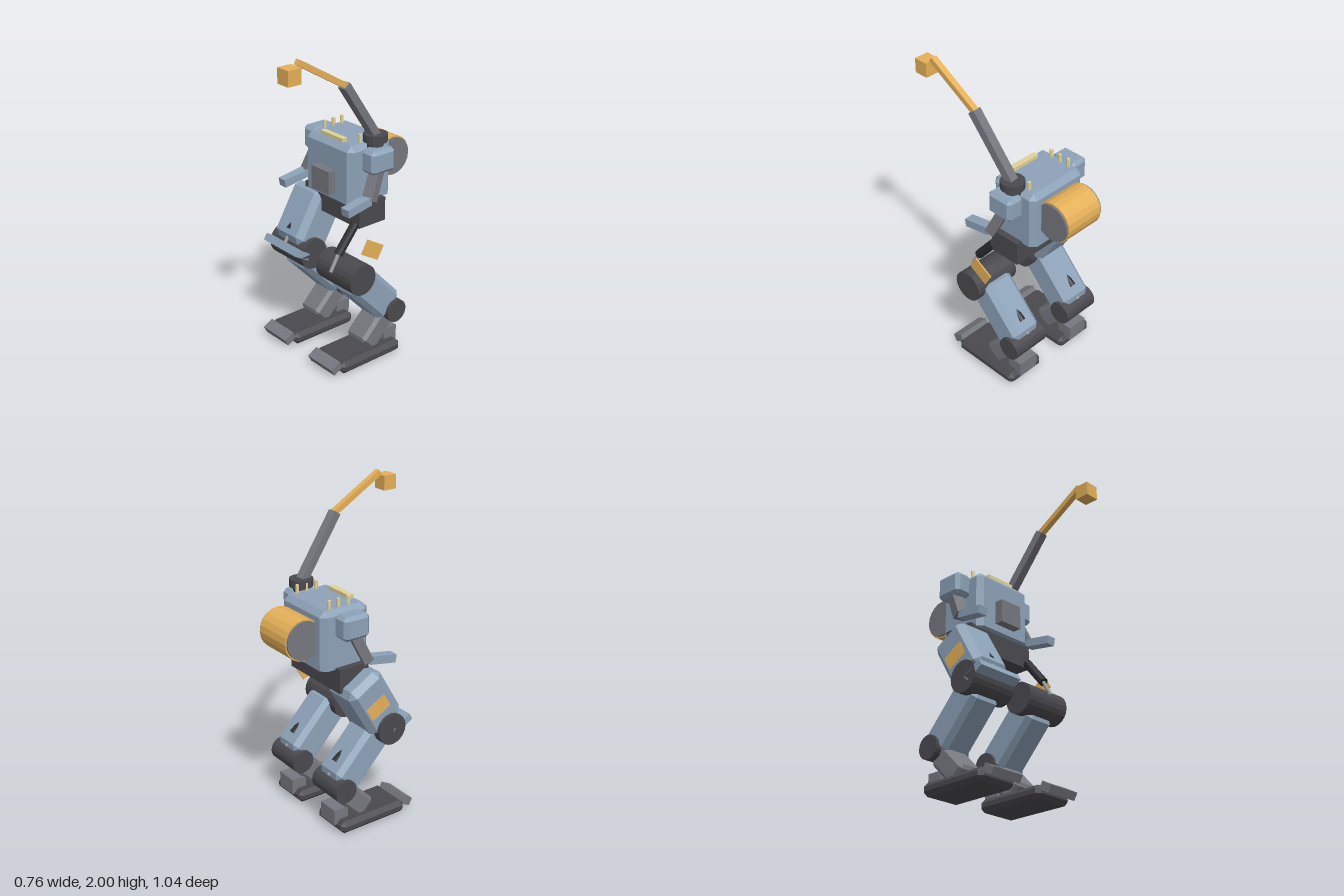
import * as THREE from 'three';
import { ConvexGeometry } from 'three/addons/geometries/ConvexGeometry.js';

const paint = (color) => new THREE.MeshStandardMaterial({ color, flatShading: true });
const BLUE = paint(0x8da2b8), DARK = paint(0x4a494e), GREY = paint(0x77787f);
const BLACK = paint(0x2e2e32), YELLOW = paint(0xe5b058), CREAM = paint(0xe0d296), STEEL = paint(0x9a9a9e);

// Box with all edges cut at 45 degrees; the bottom edges may stay sharp
function chamferBox(w, h, d, c, sharpBottom = false) {
  const pts = [];
  for (const sx of [-1, 1]) for (const sy of [-1, 1]) for (const sz of [-1, 1]) {
    const x = w / 2, y = h / 2, z = d / 2;
    const cy = sharpBottom && sy < 0 ? 0 : c;
    pts.push(new THREE.Vector3(sx * x, sy * (y - cy), sz * (z - c)));
    pts.push(new THREE.Vector3(sx * (x - c), sy * (y - cy), sz * z));
    if (cy) pts.push(new THREE.Vector3(sx * (x - c), sy * y, sz * (z - c)));
  }
  return new ConvexGeometry(pts);
}

export function createModel() {
  const root = new THREE.Group();
  root.name = 'walker';

  function add(parent, name, geometry, material, x, y, z, tilt = 0) {
    const mesh = new THREE.Mesh(geometry, material);
    mesh.name = name;
    mesh.position.set(x, y, z);
    mesh.rotation.x = tilt;
    parent.add(mesh);
    return mesh;
  }
  const box = (w, h, d) => new THREE.BoxGeometry(w, h, d);
  // Cylinder lying along x
  const axle = (r, length) => new THREE.CylinderGeometry(r, r, length, 20).rotateZ(Math.PI / 2);

  // Straight part from point a to point b; its geometry runs along z
  function span(parent, name, a, b, material, makeGeometry) {
    const from = new THREE.Vector3(...a), to = new THREE.Vector3(...b);
    const mid = from.clone().add(to).multiplyScalar(0.5);
    const mesh = add(parent, name, makeGeometry(from.distanceTo(to)), material, mid.x, mid.y, mid.z);
    mesh.lookAt(to);
    return mesh;
  }
  const bar = (parent, name, a, b, w, h, material) =>
    span(parent, name, a, b, material, (l) => box(w, h, l));
  const rod = (parent, name, a, b, r, material) =>
    span(parent, name, a, b, material, (l) => new THREE.CylinderGeometry(r, r, l, 10).rotateX(Math.PI / 2));

  // Body
  const body = new THREE.Group();
  body.name = 'body';
  root.add(body);
  add(body, 'torso', chamferBox(0.42, 0.36, 0.33, 0.033, true), BLUE, 0, 1.2, -0.155);
  add(body, 'hips', box(0.5, 0.15, 0.205), DARK, 0, 0.955, -0.13);
  add(body, 'chestPanel', box(0.156, 0.145, 0.08), GREY, 0, 1.137, 0.025);
  add(body, 'roofBar', box(0.198, 0.035, 0.036), CREAM, 0, 1.385, -0.042);
  for (const x of [-0.16, 0.16]) for (const z of [-0.24, -0.175, -0.107]) {
    add(body, 'roofPeg', new THREE.CylinderGeometry(0.011, 0.011, 0.06, 8), CREAM, x, 1.4, z);
  }

  // Tank on the back
  add(body, 'tank', axle(0.126, 0.264), YELLOW, 0, 1.215, -0.396);
  add(body, 'tankCaps', axle(0.118, 0.288), GREY, 0, 1.215, -0.396);

  // Crane on the left shoulder
  const crane = new THREE.Group();
  crane.name = 'crane';
  root.add(crane);
  add(crane, 'craneStem', new THREE.CylinderGeometry(0.05, 0.05, 0.06, 12), DARK, 0.222, 1.375, -0.17);
  add(crane, 'craneTurntable', new THREE.CylinderGeometry(0.072, 0.072, 0.048, 20), DARK, 0.222, 1.417, -0.17);
  bar(crane, 'craneMast', [0.221, 1.43, -0.165], [0.25, 1.79, 0.096], 0.056, 0.05, GREY);
  bar(crane, 'craneBoom', [0.25, 1.785, 0.085], [0.25, 1.984, 0.423], 0.037, 0.034, YELLOW);
  add(crane, 'craneHead', box(0.092, 0.09, 0.09), YELLOW, 0.25, 1.92, 0.475);

  for (const s of [-1, 1]) {
    // Arm
    const arm = new THREE.Group();
    arm.name = s > 0 ? 'leftArm' : 'rightArm';
    root.add(arm);
    add(arm, 'shoulder', chamferBox(0.118, 0.148, 0.178, 0.022), BLUE, s * 0.264, 1.293, -0.155);
    bar(arm, 'upperArm', [s * 0.266, 1.25, -0.152], [s * 0.291, 1.065, -0.066], 0.07, 0.06, GREY);
    bar(arm, 'forearm', [s * 0.288, 1.07, -0.06], [s * 0.292, 1.04, 0.12], 0.063, 0.05, BLUE);

    // Leg
    const leg = new THREE.Group();
    leg.name = s > 0 ? 'leftLeg' : 'rightLeg';
    root.add(leg);
    const x = s * 0.225;

    // Thigh armour and knee guard exist on the right leg only
    if (s < 0) {
      add(leg, 'thigh', chamferBox(0.262, 0.37, 0.254, 0.038), BLUE, -0.23, 0.795, -0.037, -0.53);
      add(leg, 'kneeGuard', box(0.315, 0.045, 0.14), BLUE, x, 0.632, 0.132, -0.53);
    }
    add(leg, 'thighPanel', box(0.008, 0.095, 0.145), YELLOW, s * 0.358, 0.782, -0.037, -0.53);
    rod(leg, 'thighPiston', [x, 0.91, -0.019], [x, 0.747, 0.114], 0.028, BLACK);
    rod(leg, 'thighPistonRod', [x, 0.77, 0.1], [x, 0.65, 0.17], 0.011, STEEL);
    add(leg, 'knee', axle(0.098, 0.315), DARK, x, 0.62, 0.055);

    add(leg, 'shin', chamferBox(0.207, 0.4, 0.207, 0.03), BLUE, x, 0.45, -0.105, 0.76);
    rod(leg, 'shinPiston', [x, 0.551, -0.085], [x, 0.43, -0.247], 0.028, BLACK);
    rod(leg, 'shinPistonRod', [x, 0.44, -0.235], [x, 0.36, -0.3], 0.011, STEEL);
    add(leg, 'ankle', axle(0.074, 0.25), DARK, x, 0.287, -0.257);

    // Foot
    add(leg, 'ankleBlock', chamferBox(0.166, 0.24, 0.14, 0.02), GREY, x, 0.17, -0.15, -0.785);
    add(leg, 'heel', box(0.14, 0.1, 0.1), GREY, x, 0.1, -0.256);
    add(leg, 'foot', chamferBox(0.272, 0.08, 0.475, 0.026), DARK, x, 0.04, -0.053);
    add(leg, 'toe', box(0.222, 0.05, 0.075), GREY, x, 0.056, 0.212, 0.5);
  }
  return root;
}
